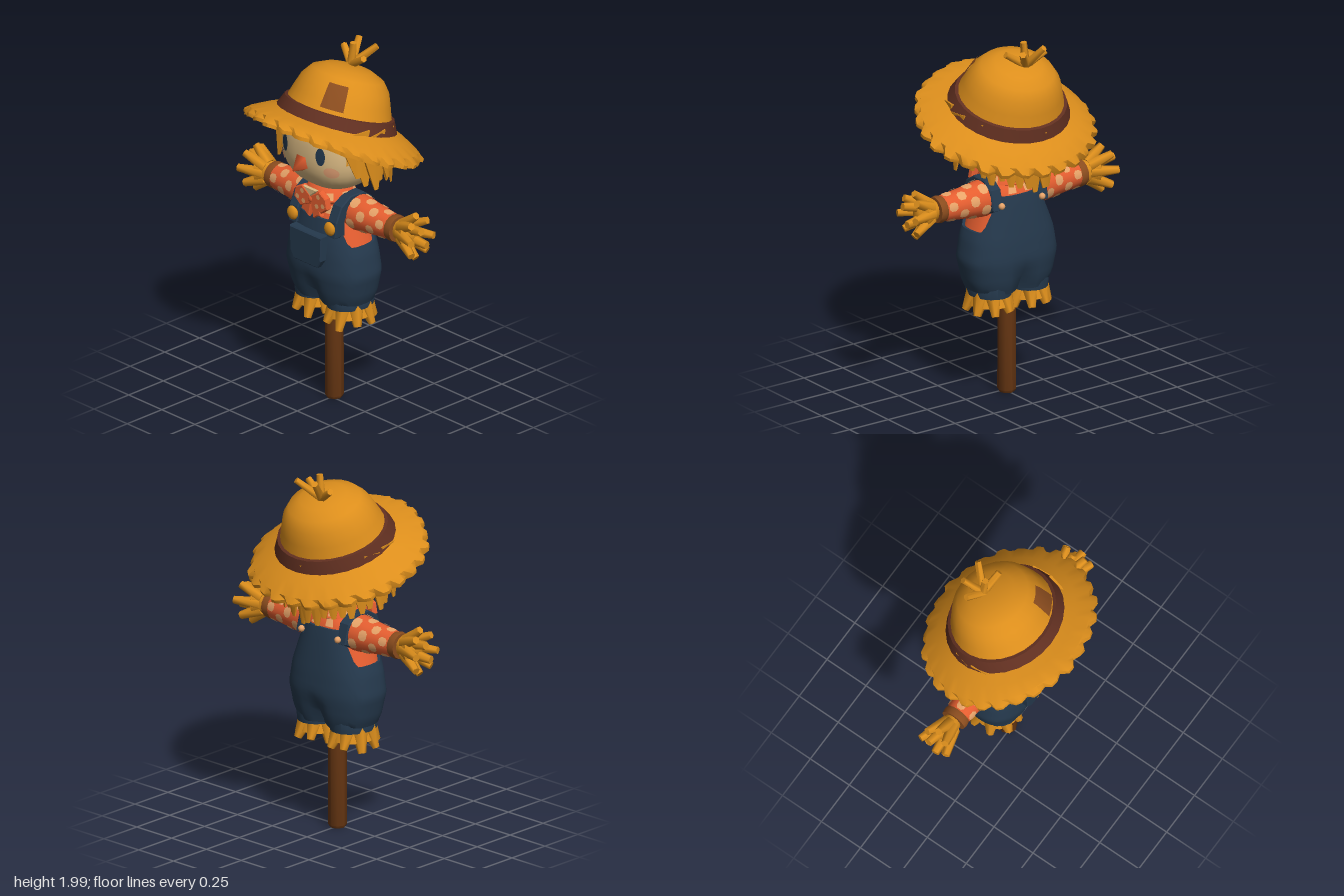
import * as THREE from 'three';
import { mergeVertices, toCreasedNormals } from 'three/addons/utils/BufferGeometryUtils.js';

const mat = (name, color) => {
  const m = new THREE.MeshStandardMaterial({ color });
  m.name = name;
  return m;
};
const V = (x, y, z) => new THREE.Vector3(x, y, z);
const hash = (n) => { const s = Math.sin(n * 12.9898) * 43758.5453; return s - Math.floor(s); };
const spow = (v, e) => Math.sign(v) * Math.pow(Math.abs(v), e);
const smooth = THREE.MathUtils.smoothstep;

export function createModel() {
  const straw = mat('straw', 0xdc8e1c), denim = mat('denim', 0x25394d), shirt = mat('shirt', 0xe55e30);
  const spot = mat('spots', 0xe9a469), bandMat = mat('hat band', 0x602f20), wood = mat('wood', 0x683713);
  const skin = mat('sackcloth', 0xdcbb84), blush = mat('blush', 0xe2a074), patchMat = mat('patch', 0x8a4c1e);
  const eyeMat = mat('eyes', 0x22384e);
  const root = new THREE.Group();

  const add = (parent, name, geo, m) => {
    const mesh = new THREE.Mesh(geo, m);
    mesh.name = name;
    parent.add(mesh);
    return mesh;
  };
  const group = (parent, name) => {
    const g = new THREE.Group();
    g.name = name;
    parent.add(g);
    return g;
  };
  // Lathe whose vertices may be moved by a rule(v)
  const turned = (pts, segs, rule, start = 0, len = Math.PI * 2) => {
    let g = new THREE.LatheGeometry(pts.map(p => new THREE.Vector2(...p)), segs, start, len);
    const pos = g.attributes.position, v = V();
    for (let i = 0; rule && i < pos.count; i++) {
      rule(v.fromBufferAttribute(pos, i));
      pos.setXYZ(i, v.x, v.y, v.z);
    }
    g.deleteAttribute('normal');
    g.deleteAttribute('uv');
    g = mergeVertices(g, 1e-4);
    return toCreasedNormals(g, 0.8);
  };
  // Tapered rod from a to b
  const rod = (parent, name, a, b, r0, r1, m, sides = 6, flat = 1) => {
    const d = b.clone().sub(a);
    const g = new THREE.CylinderGeometry(r1, r0, d.length(), sides);
    g.scale(1, 1, flat);
    const mesh = add(parent, name, toCreasedNormals(g, 1.1), m);
    mesh.quaternion.setFromUnitVectors(V(0, 1, 0), d.normalize());
    mesh.position.copy(a).add(b).multiplyScalar(0.5);
    return mesh;
  };
  const extrude = (pts, depth) => {
    const g = new THREE.ExtrudeGeometry(new THREE.Shape(pts.map(p => new THREE.Vector2(...p))),
      { depth, bevelEnabled: true, bevelSize: 0.006, bevelThickness: 0.006, bevelSegments: 1 });
    return g.translate(0, 0, -depth / 2);
  };

  // Pole
  add(root, 'pole', turned([[0, 0], [0.042, 0], [0.05, 0.015], [0.048, 0.7], [0, 0.7]], 8, v => { v.z -= 0.018; }), wood);

  // Body cross-sections: y, half width, front z, back z
  const rows = [[0.59, 0, -0.02, -0.02], [0.6, 0.215, 0.115, -0.15], [0.66, 0.24, 0.135, -0.17], [0.78, 0.265, 0.155, -0.187],
    [0.9, 0.245, 0.15, -0.178], [1.0, 0.21, 0.14, -0.165], [1.1, 0.175, 0.12, -0.15], [1.17, 0.155, 0.09, -0.135], [1.22, 0.08, 0.05, -0.09]];
  const onBody = (v, y, off) => {
    let i = 1;
    while (i < rows.length - 1 && rows[i][0] < y) i++;
    const a = rows[i - 1], b = rows[i], k = Math.min(1, Math.max(0, (y - a[0]) / (b[0] - a[0])));
    const [rx, zf, zb] = [1, 2, 3].map(j => a[j] + (b[j] - a[j]) * k);
    const phi = Math.atan2(v.x, v.z);
    v.set((rx + off) * spow(Math.sin(phi), 0.8), y, (zf + zb) / 2 + ((zf - zb) / 2 + off) * spow(Math.cos(phi), 0.8));
  };
  const steps = n => Array.from({ length: n + 1 }, (_, i) => i / n);
  add(root, 'shirtTorso', turned(steps(8).map(t => [1, 0.9 + 0.32 * t]), 32, v => onBody(v, v.y, 0)), shirt);
  // Overalls: bib in front, higher back, cut low under the arms, creased between the legs
  add(root, 'overalls', turned([[1, 0], [1, 0.02], ...steps(16).slice(1).map(t => [1, t]), [0.5, 1]], 48, v => {
    const s = Math.abs(v.x) / Math.hypot(v.x, v.z), off = Math.hypot(v.x, v.z) > 0.8 ? 0.014 : -0.02;
    const high = v.z > 0 ? 1.09 : 1.14;
    const top = high - (high - 0.95) * smooth(s, 0.68, 0.93);
    onBody(v, 0.59 + v.y * (top - 0.59), off);
    v.z *= 1 - 0.3 * (1 - smooth(Math.abs(v.x), 0, 0.08)) * (1 - smooth(v.y, 0.6, 0.8));
  }), denim);
  for (const [phi, y] of [[0, 1.12], [-0.45, 1.14], [0.45, 1.14], [2.9, 1.17], [3.4, 1.17]])
    add(root, 'shirtSpot', turned([[1, y - 0.02], [1, y + 0.02]], 4, v => onBody(v, v.y, 0.005), phi - 0.14, 0.28), spot);

  // Trouser legs with straw sticking out
  for (const s of [-1, 1]) {
    const leg = group(root, s > 0 ? 'leftLeg' : 'rightLeg');
    leg.position.set(s * 0.118, 0, -0.02);
    add(leg, 'trouserLeg', turned([[0, 0.6], [0.1, 0.6], [0.112, 0.58], [0.118, 0.66], [0.06, 0.74]], 20, v => { v.z *= 1.22; }), denim);
    add(leg, 'strawSkirt', turned([[0, 0.56], [0.112, 0.525], [0.09, 0.6], [0, 0.61]], 16, v => { v.z *= 1.15; }), straw);
    for (let i = 0; i < 8; i++) {
      const a = (i + 0.5) / 8 * Math.PI * 2, c = Math.sin(a), d = Math.cos(a) * 1.14;
      rod(leg, 'legStraw', V(c * 0.07, 0.6, d * 0.07), V(c * 0.12, 0.465 + 0.045 * hash(i + 2), d * 0.12), 0.048, 0.021, straw, 6);
    }
  }

  // Pocket, straps and buttons
  const pocket = add(root, 'pocket', extrude([[-0.115, 1.01], [-0.11, 0.88], [-0.085, 0.84], [0.085, 0.84], [0.11, 0.88], [0.115, 1.01]], 0.045), denim);
  pocket.position.z = 0.165;
  const outer = [[0.14, 1.02], [0.132, 1.1], [0.095, 1.18], [0.03, 1.222], [-0.06, 1.22], [-0.115, 1.18], [-0.142, 1.08]];
  const inner = [[-0.09, 1.05], [-0.08, 1.15], [-0.045, 1.18], [0.03, 1.18], [0.05, 1.15], [0.08, 1.1], [0.08, 1.02]];
  for (const s of [-1, 1]) {
    const strap = add(root, 'strap', extrude([...outer, ...inner], 0.055), denim);
    strap.rotation.y = -Math.PI / 2;
    strap.position.x = s * 0.145;
    const button = add(root, 'button', new THREE.SphereGeometry(0.038, 10, 8), straw);
    button.scale.z = 0.5;
    button.position.set(s * 0.14, 1.065, 0.15);
    const back = add(root, 'backButton', new THREE.SphereGeometry(0.018, 10, 8), spot);
    back.position.set(s * 0.13, 1.1, -0.155);
  }

  // Arms: sleeve with spots, cuff and straw hand
  const sleeve = [[0, 0.08], [0.095, 0.1], [0.1, 0.17], [0.085, 0.28], [0.068, 0.44], [0, 0.445]];
  const sleeveR = x => x < 0.28 ? 0.1 - (x - 0.17) * 0.136 : 0.085 - (x - 0.28) * 0.106;
  for (const s of [1, -1]) {
    const arm = group(root, s > 0 ? 'leftArm' : 'rightArm');
    arm.position.set(0, 1.118, -0.03);
    arm.rotation.y = s > 0 ? 0 : Math.PI;
    const along = (name, geo, m) => { add(arm, name, geo, m).rotation.z = -Math.PI / 2; };
    along('sleeve', turned(sleeve, 20), shirt);
    // Spots are eight-sided patches wrapped round the sleeve
    for (let i = 0; i < 4; i++) for (let j = 0; j < 5; j++) {
      const x = 0.205 + i * 0.065, a = (j + (i % 2) / 2) / 5 * Math.PI * 2 + 0.3;
      const r = [-0.025, -0.012, 0.012, 0.025].map(d => [sleeveR(x + d) + 0.004, x + d]);
      along('sleeveSpot', turned(r, 6, v => {
        if (Math.abs(v.y - x) < 0.02) return;
        const rad = Math.hypot(v.x, v.z), turn = Math.atan2(v.x, v.z) - a;
        const phi = a + 0.5 * Math.atan2(Math.sin(turn), Math.cos(turn));
        v.x = rad * Math.sin(phi); v.z = rad * Math.cos(phi);
      }, a - 0.31, 0.62), spot);
    }
    along('cuff', turned([[0, 0.43], [0.07, 0.43], [0.074, 0.45], [0.07, 0.473], [0, 0.475]], 16), patchMat);
    along('palm', turned([[0, 0.46], [0.054, 0.47], [0.068, 0.51], [0.085, 0.555], [0.04, 0.59], [0, 0.595]], 12, v => { v.z *= 0.82; }), straw);
    for (let i = 0; i < 8; i++) {
      const a = i / 8 * Math.PI * 2, c = Math.cos(a), d = Math.sin(a);
      rod(arm, 'handStraw', V(0.51, c * 0.045, d * 0.03), V(0.655 - 0.05 * c * c, c * 0.122, d * 0.082), 0.034, 0.021, straw, 6);
    }
    rod(arm, 'handStraw', V(0.48, 0.02, 0), V(0.665, 0.055, 0.02), 0.035, 0.022, straw, 6);
    rod(arm, 'handStraw', V(0.48, -0.02, 0), V(0.665, -0.035, -0.02), 0.035, 0.022, straw, 6);
  }

  // Collar, neck and bow
  const toFront = v => { v.z += 0.01; };
  add(root, 'collar', turned([[0.07, 1.18], [0.125, 1.17], [0.14, 1.19], [0.11, 1.255], [0.07, 1.28]], 24, toFront), shirt);
  for (let i = 0; i < 8; i++)
    add(root, 'collarSpot', turned([[0.14, 1.2], [0.124, 1.234]], 4, toFront, 0.65 + i * 0.68, 0.28), spot);
  const bow = group(root, 'bow');
  bow.position.set(0, 1.192, 0.138);
  for (const s of [1, -1]) {
    const half = group(bow, 'bowHalf');
    half.rotation.y = s > 0 ? 0 : Math.PI;
    add(half, 'bowLoop', extrude([[0, -0.02], [0.075, -0.055], [0.12, -0.02], [0.11, 0.03], [0.065, 0.055], [0, 0.015]], 0.026), shirt);
    add(half, 'bowTail', extrude([[0, 0], [0.02, -0.1], [0.045, -0.08], [0.07, -0.075], [0.035, 0]], 0.018), shirt);
    for (const [x, y] of [[0.06, 0.03], [0.095, -0.012], [0.05, -0.025]])
      add(bow, 'bowSpot', new THREE.CircleGeometry(0.015, 6), spot).position.set(s * x, y, 0.0205);
  }
  add(bow, 'bowKnot', new THREE.SphereGeometry(0.026, 10, 8), shirt);
  add(bow, 'neckCloth', extrude([[-0.045, 0.06], [0, 0.022], [0.045, 0.06]], 0.008), skin).position.z = 0.012;

  // Head: rounded, slightly boxy ball
  const headC = V(0, 1.49, -0.02), headR = V(0.266, 0.25, 0.243), e = 2.55;
  const headGeo = new THREE.SphereGeometry(1, 36, 24), hp = headGeo.attributes.position;
  for (let i = 0; i < hp.count; i++) {
    const v = V().fromBufferAttribute(hp, i);
    const n = Math.pow(Math.abs(v.x) ** e + Math.abs(v.y) ** e + Math.abs(v.z) ** e, -1 / e);
    v.multiplyScalar(n).multiply(headR).add(headC);
    hp.setXYZ(i, v.x, v.y, v.z);
  }
  headGeo.computeVertexNormals();
  add(root, 'head', headGeo, skin);
  const faceZ = (x, y) => headC.z + headR.z * Math.pow(Math.max(0, 1 - Math.abs(x / headR.x) ** e - Math.abs((y - headC.y) / headR.y) ** e), 1 / e);
  const faceDisc = (name, cx, cy, rx, ry, m) => {
    const g = new THREE.RingGeometry(0.001, 1, 24, 4), p = g.attributes.position;
    for (let i = 0; i < p.count; i++) {
      const x = cx + p.getX(i) * rx, y = cy + p.getY(i) * ry;
      p.setXYZ(i, x, y, faceZ(x, y) + 0.006);
    }
    g.computeVertexNormals();
    add(root, name, g, m);
  };
  for (const s of [-1, 1]) {
    faceDisc('eye', s * 0.132, 1.495, 0.026, 0.05, eyeMat);
    faceDisc('cheek', s * 0.18, 1.408, 0.034, 0.032, blush);
  }
  rod(root, 'nose', V(0, 1.422, 0.205), V(0, 1.395, 0.28), 0.056, 0.004, shirt, 5);

  // Straw hair: two layers of broad locks around sides and back, and a short fringe
  const hair = group(root, 'hair');
  hair.position.z = -0.02;
  const strand = (phi, len, w, r, flare) => {
    const pivot = group(hair, 'strand');
    pivot.rotation.y = phi;
    const top = 1.61 + 0.28 * r * Math.cos(phi);
    rod(pivot, 'lock', V(0.02, top - len, r + flare), V(0, top, r), 0.014, w, straw, 6, 0.35);
  };
  for (let layer = 0; layer < 2; layer++) for (let i = 0; i < 12; i++) {
    const phi = 1.13 + (i + layer * 0.5) / 12 * 4.2, behind = Math.max(0, -Math.cos(phi));
    strand(phi, 0.25 + 0.07 * hash(i + layer * 31) + 0.03 * behind, 0.105, (layer ? 0.275 : 0.295) - 0.02 * behind, 0.03 - 0.03 * behind);
  }
  for (const [phi, len, w] of [[-0.98, 0.2, 0.07], [-0.84, 0.1, 0.05], [0.98, 0.2, 0.07], [0.84, 0.1, 0.05], [0.16, 0.1, 0.06], [-0.06, 0.06, 0.05]])
    strand(phi, len, w, 0.25, 0.02);

  // Hat, tipped back
  const hat = group(root, 'hat');
  hat.position.set(0, 1.6, -0.037);
  hat.rotation.x = -0.335;
  const oval = v => { v.z *= 0.95; };
  const crown = [[0.312, 0], [0.288, 0.06], [0.268, 0.12], [0.242, 0.19], [0.2, 0.243], [0.13, 0.275], [0.06, 0.287], [0, 0.288]];
  add(hat, 'crown', turned(crown, 28, oval), straw);
  add(hat, 'hatBand', turned([[0.31, -0.008], [0.334, -0.005], [0.304, 0.06], [0.28, 0.064]], 28, oval), bandMat);
  const N = 84;
  add(hat, 'brim', turned([[0.27, -0.02], [0.38, -0.055], [0.455, -0.1], [0.49, -0.122], [0.492, -0.102], [0.46, -0.075], [0.385, -0.03], [0.3, 0.008]], N, v => {
    const r = Math.hypot(v.x, v.z);
    const k = (Math.round(Math.atan2(v.x, v.z) / (Math.PI * 2) * N) + N) % N;
    // Front of the brim curls up
    v.y += 0.05 * smooth(r, 0.32, 0.49) * Math.max(0, v.z / r) ** 2;
    if (r > 0.47) {
      // Frayed straw ends
      const f = k % 3 === 0 ? 0.94 : 0.98 + 0.035 * hash(Math.floor(k / 3) + 3);
      v.x *= f; v.z *= f;
      v.y += (hash(k) - 0.5) * 0.012;
    }
    v.x *= 1.02; v.z *= 0.95;
  }), straw);
  add(hat, 'hatPatch', turned([[0.286, 0.085], [0.274, 0.12], [0.248, 0.19], [0.232, 0.215]], 6, v => {
    const f = 1 + 0.008 * hash(Math.round(v.x * 100));
    v.x *= f; v.z *= f * 0.95;
  }, 0.34, 0.46), patchMat);

  // Straw tuft on the crown
  const tuft = group(root, 'tuft');
  for (const [x, y, z] of [[-0.12, 1.93, -0.2], [-0.065, 1.975, -0.26], [-0.005, 1.99, -0.16], [0.07, 1.965, -0.26], [0.095, 1.935, -0.14]])
    rod(tuft, 'tuftStraw', V(-0.02, 1.86, -0.16), V(x, y, z), 0.024, 0.018, straw, 6);

  return root;
}
